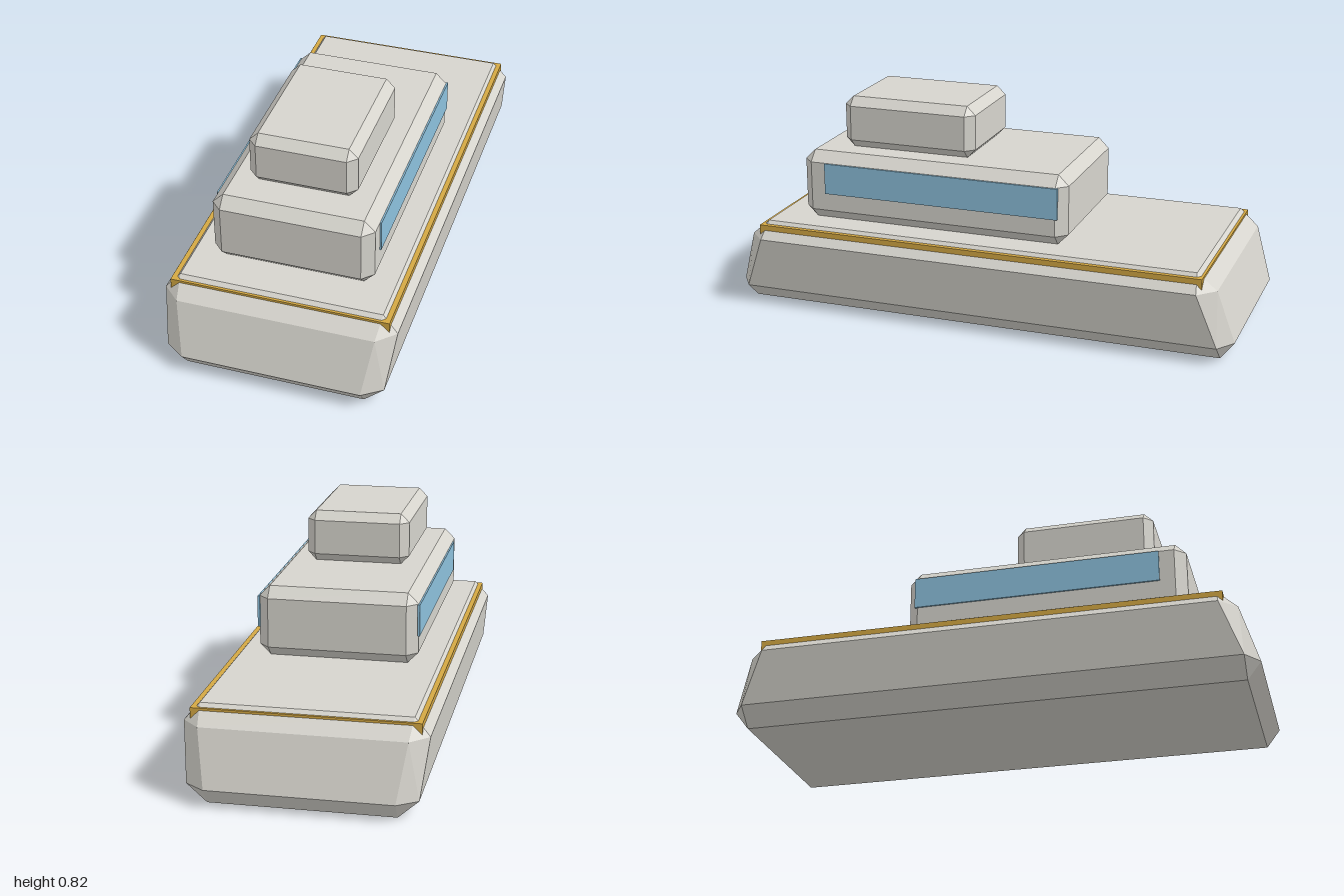
import * as THREE from 'three';
import { ConvexGeometry } from 'three/addons/geometries/ConvexGeometry.js';

const material = (name, color) => {
  const m = new THREE.MeshStandardMaterial({ color });
  m.name = name;
  return m;
};

// Solid with flat chamfers: each corner [x, y, z] is mirrored across x and z
function chamferedSolid(corners) {
  const points = [];
  for (const [x, y, z] of corners) {
    for (const sx of [-1, 1]) {
      for (const sz of [-1, 1]) points.push(new THREE.Vector3(sx * x, y, sz * z));
    }
  }
  return new ConvexGeometry(points);
}

// Upright block of half-width w, half-length l, with chamfer c on every edge
function chamferedBlock(w, h, l, c) {
  return chamferedSolid([
    [w - c, 0, l - c], [w, c, l - c], [w - c, c, l],
    [w, h - c, l - c], [w - c, h - c, l], [w - c, h, l - c],
  ]);
}

export function createModel() {
  const model = new THREE.Group();
  model.name = 'boat';
  const paint = material('paleGreyPaint', 0xd6d4cd);
  const gold = material('goldTrim', 0xd4a843);
  const glass = material('blueGlass', 0x8cc0dc);

  const add = (name, geometry, mat, x, y, z) => {
    const mesh = new THREE.Mesh(geometry, mat);
    mesh.name = name;
    mesh.position.set(x, y, z);
    model.add(mesh);
  };

  // Hull: widens upwards at the sides, shortens upwards at the ends
  add('hull', chamferedSolid([
    [0.34, 0, 0.948], [0.415, 0.067, 0.948], [0.34, 0.067, 1],
    [0.44, 0.275, 0.87], [0.373, 0.275, 0.935], [0.383, 0.34, 0.86],
  ]), paint, 0, 0, 0);

  // Rub rail around the deck edge, its core sunk in the hull
  add('deckRail', new THREE.BoxGeometry(0.826, 0.05, 1.77), gold, 0, 0.302, 0);

  // Stacked decks
  add('cabin', chamferedBlock(0.306, 0.274, 0.541, 0.041), paint, 0, 0.34, 0.204);
  add('bridge', chamferedBlock(0.204, 0.204, 0.271, 0.034), paint, 0, 0.613, 0.34);

  // Long side windows
  for (const [side, sx] of [['left', 1], ['right', -1]]) {
    add(`${side}Window`, new THREE.BoxGeometry(0.009, 0.122, 0.952), glass, sx * 0.3075, 0.511, 0.17);
  }
  return model;
}
